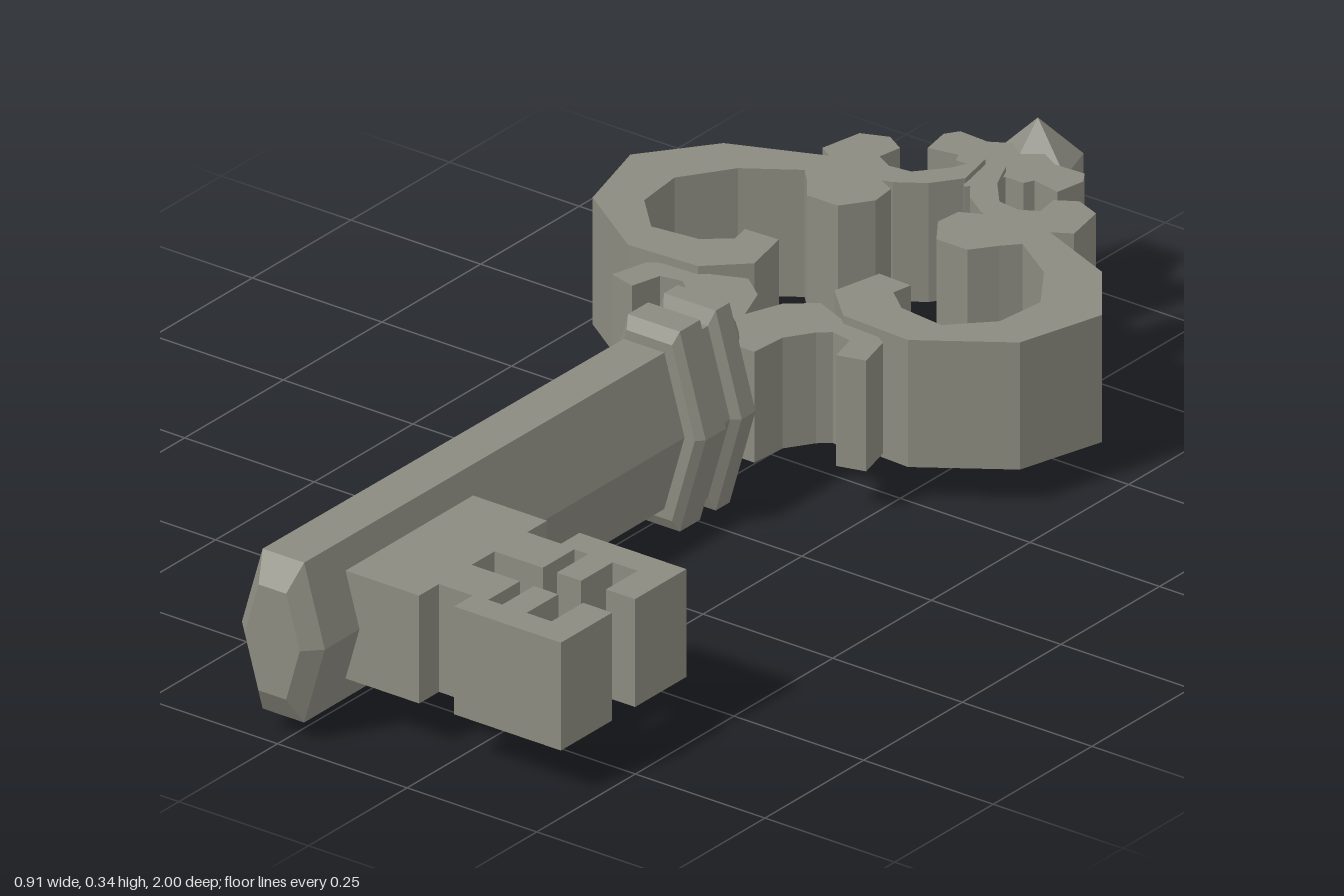
import * as THREE from 'three';

const MID = 0.173; // height of the key's centre line
const material = new THREE.MeshStandardMaterial({ color: 0x8c8b80, flatShading: true });

function addMesh(parent, name, geometry) {
  const mesh = new THREE.Mesh(geometry, material);
  mesh.name = name;
  parent.add(mesh);
  return mesh;
}

// Flat plate from an outline of [x, z] points, centred on the key's mid height
function plate(outline, height, side = 1) {
  const shape = new THREE.Shape(outline.map(([x, z]) => new THREE.Vector2(x * side, -z)));
  return new THREE.ExtrudeGeometry(shape, { depth: height, bevelEnabled: false })
    .rotateX(-Math.PI / 2)
    .translate(0, MID - height / 2, 0);
}

// Six-sided turned part along z, stretched in height; profile is [radius, z]
function turned(profile, x = 0) {
  const points = profile.map(([r, z]) => new THREE.Vector2(r, z));
  return new THREE.LatheGeometry(points, 6, Math.PI / 2)
    .rotateX(Math.PI / 2)
    .scale(1, 1.98, 1)
    .translate(x, MID, 0);
}

export function createModel() {
  const key = new THREE.Group();
  key.name = 'key';

  // Shaft with a chamfered tip
  addMesh(key, 'shaft', turned([[0, -0.03], [0.078, -0.03], [0.08, 0.972], [0.053, 1], [0, 1]], -0.01));

  // Two collars and the socket that holds the bow
  addMesh(key, 'collars', turned([
    [0, -0.155], [0.036, -0.155], [0.07, -0.115], [0.08, -0.1], [0.088, -0.092],
    [0.1, -0.08], [0.1, -0.045], [0.086, -0.034], [0.086, -0.018],
    [0.1, -0.005], [0.1, 0.046], [0.088, 0.058], [0, 0.058],
  ]));

  // Bit: one stepped arm mirrored about its middle
  const bitMid = 0.722;
  const arm = [
    [0.04, 0.56], [0.185, 0.56], [0.185, 0.61], [0.25, 0.61], [0.25, 0.563], [0.456, 0.563],
    [0.456, 0.693], [0.4, 0.693], [0.4, 0.613], [0.352, 0.613], [0.352, 0.693],
    [0.305, 0.693], [0.305, 0.613], [0.278, 0.613], [0.278, 0.693], [0.185, 0.693],
  ];
  const lower = arm.map(([x, z]) => [x, 2 * bitMid - z]).reverse();
  addMesh(key, 'bit', plate([...arm, ...lower], 0.185));

  // Bow: scrolls repeated on both sides
  const loop = [
    [0.17, -0.69], [0.365, -0.61], [0.455, -0.492], [0.412, -0.34], [0.27, -0.243],
    [0.14, -0.25], [0.077, -0.31], [0.097, -0.398], [0.16, -0.395], [0.153, -0.36],
    [0.195, -0.325], [0.28, -0.315], [0.343, -0.38], [0.353, -0.47], [0.295, -0.555],
    [0.21, -0.612], [0.185, -0.585], [0.155, -0.545], [0.095, -0.545], [0.06, -0.595],
    [0.065, -0.64], [0.115, -0.665],
  ];
  const lowerScroll = [
    [0, -0.09], [0.09, -0.09], [0.095, -0.155], [0.125, -0.2], [0.145, -0.217], [0.183, -0.21],
    [0.197, -0.157], [0.245, -0.17], [0.228, -0.235], [0.18, -0.265], [0.125, -0.262],
    [0.07, -0.285], [0.025, -0.25], [0, -0.185],
  ];
  const upperScroll = [
    [0.005, -0.75], [0.02, -0.82], [0.045, -0.765], [0.085, -0.718], [0.125, -0.713],
    [0.155, -0.73], [0.148, -0.772], [0.183, -0.793], [0.228, -0.775], [0.243, -0.7],
    [0.21, -0.68], [0.17, -0.66], [0.125, -0.66], [0.085, -0.672], [0.04, -0.702],
  ];
  const topScroll = [
    [0, -0.74], [0.022, -0.765], [0.03, -0.805], [0.065, -0.805], [0.073, -0.822], [0.125, -0.812],
    [0.135, -0.865], [0.12, -0.888], [0.065, -0.885], [0.03, -0.905], [0, -0.905],
  ];
  for (const side of [1, -1]) {
    const half = new THREE.Group();
    half.name = side > 0 ? 'bowLeft' : 'bowRight';
    key.add(half);
    addMesh(half, 'loop', plate(loop, 0.218, side));
    addMesh(half, 'lowerScroll', plate(lowerScroll, 0.19, side));
    addMesh(half, 'upperScroll', plate(upperScroll, 0.204, side));
    addMesh(half, 'topScroll', plate(topScroll, 0.186, side));
  }

  // Faceted knob with a vertex on top
  const knob = new THREE.IcosahedronGeometry(0.082, 0)
    .rotateX(-Math.atan((1 + Math.sqrt(5)) / 2))
    .scale(1, 1.59, 1)
    .translate(0, 0.18, -0.927);
  addMesh(key, 'knob', knob);

  return key;
}
